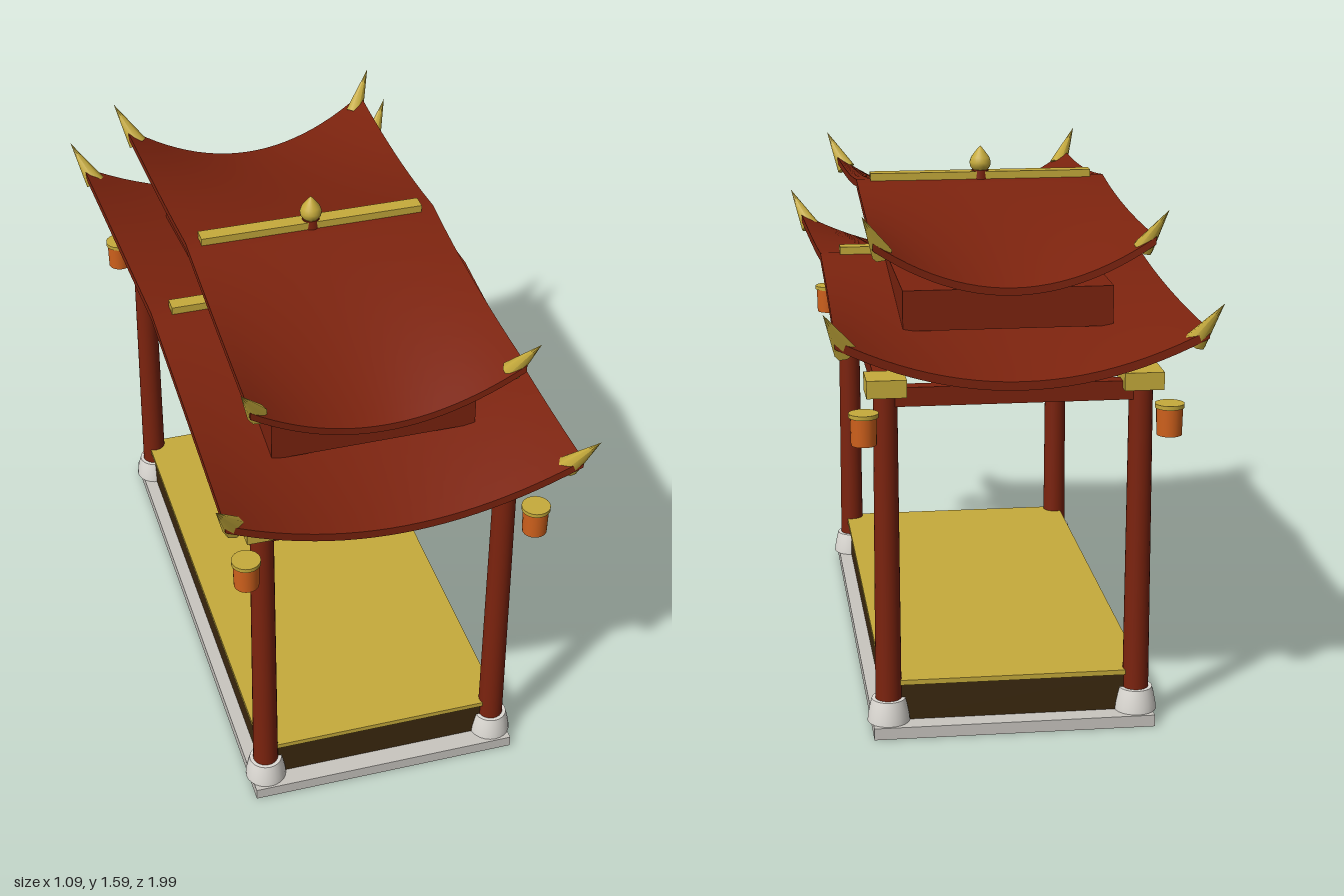
import * as THREE from 'three';

const mat = (name, color, extra = {}) => Object.assign(new THREE.MeshStandardMaterial({ color, ...extra }), { name });

// Saddle roof: flat ridge along x, falling to both eaves, corners lifted and flared
function roofGeometry({ halfX, halfZ, ridge, drop, lift, flareX, flareZ, thick }) {
  const geo = new THREE.BoxGeometry(2, 1, 2, 24, 1, 32);
  const p = geo.attributes.position;
  for (let i = 0; i < p.count; i++) {
    const u = p.getX(i), v = p.getZ(i), t = Math.abs(v), under = p.getY(i) < 0;
    const y = ridge - drop * Math.pow(t, 1.1) + lift * u * u * Math.pow(t, 1.5);
    p.setXYZ(i,
      u * (halfX + flareX * t * t),
      y - (under ? thick : 0),
      v * (halfZ + flareZ * u * u));
  }
  geo.computeVertexNormals();
  return geo;
}

export function createModel() {
  const model = new THREE.Group();
  model.name = 'pavilion';
  const red = mat('red lacquer', 0x7c230e);
  const gold = mat('gold', 0xc6ab3b);
  const dark = mat('dark wood', 0x3b280f);
  const slab = mat('grey stone', 0xc9c6c0);
  const stone = mat('pale stone', 0xdedbd5);
  const orange = mat('lantern orange', 0xd0611c);

  const add = (name, geo, material, x = 0, y = 0, z = 0) => {
    const mesh = new THREE.Mesh(geo, material);
    mesh.name = name;
    mesh.position.set(x, y, z);
    model.add(mesh);
    return mesh;
  };
  // Box given by its full width and depth and its bottom and top heights
  const box = (name, w, y0, y1, d, material, x = 0, z = 0) =>
    add(name, new THREE.BoxGeometry(w, y1 - y0, d), material, x, (y0 + y1) / 2, z);
  const lathe = (pts, n = 24) => new THREE.LatheGeometry(pts.map(([r, y]) => new THREE.Vector2(r, y)), n);

  // Horn: faceted spike from a base point to a tip
  const horn = (name, from, to, r) => {
    const a = new THREE.Vector3(...from), b = new THREE.Vector3(...to);
    const dir = b.clone().sub(a);
    const mesh = add(name, new THREE.ConeGeometry(r, dir.length(), 8), gold);
    mesh.position.copy(a).addScaledVector(dir, 0.5);
    mesh.quaternion.setFromUnitVectors(new THREE.Vector3(0, 1, 0), dir.normalize());
  };

  // Platform
  box('baseSlab', 0.82, 0, 0.035, 1.67, slab);
  box('plinth', 0.74, 0.035, 0.145, 1.55, dark);
  box('floor', 0.76, 0.145, 0.16, 1.57, gold);

  // Posts with stone feet, capitals and lanterns
  const px = 0.363, pz = 0.767;
  const foot = lathe([[0.062, 0.035], [0.06, 0.055], [0.054, 0.085], [0.049, 0.103], [0.049, 0.104], [0, 0.104]]);
  const post = new THREE.CylinderGeometry(0.034, 0.038, 0.93, 24);
  const lantern = new THREE.CylinderGeometry(0.038, 0.036, 0.08, 20);
  const lanternCap = new THREE.CylinderGeometry(0.042, 0.042, 0.012, 20);
  for (const sx of [-1, 1]) for (const sz of [-1, 1]) {
    const x = sx * px, z = sz * pz;
    add('postFoot', foot, stone, x, 0, z);
    add('post', post, red, x, 0.555, z);
    box('capital', 0.113, 1.013, 1.064, 0.113, gold, x, z);
    add('lantern', lantern, orange, sx * 0.43, 0.93, sz * 0.847);
    add('lanternCap', lanternCap, gold, sx * 0.43, 0.975, sz * 0.847);
    horn('lowerHorn', [sx * 0.482, 1.175, sz * 0.925], [sx * 0.545, 1.295, sz * 0.993], 0.032);
    horn('upperHorn', [sx * 0.365, 1.405, sz * 0.75], [sx * 0.425, 1.522, sz * 0.81], 0.03);
  }

  // Tie beams
  for (const s of [-1, 1]) {
    box('crossBeam', 2 * px, 0.979, 1.034, 0.045, red, 0, s * pz);
    box('sideBeam', 0.045, 0.979, 1.034, 2 * pz, red, s * px, 0);
  }

  // Two roof tiers with a box between them
  add('lowerRoof', roofGeometry({ halfX: 0.497, halfZ: 0.94, ridge: 1.264, drop: 0.184, lift: 0.136,
    flareX: 0.016, flareZ: 0.022, thick: 0.025 }), red);
  box('middleTier', 0.604, 1.163, 1.28, 1.314, red);
  add('upperRoof', roofGeometry({ halfX: 0.383, halfZ: 0.765, ridge: 1.492, drop: 0.188, lift: 0.14,
    flareX: 0.012, flareZ: 0.025, thick: 0.022 }), red);
  box('lowerRidge', 0.874, 1.262, 1.285, 0.046, gold);
  box('upperRidge', 0.68, 1.488, 1.511, 0.046, gold);

  // Finial
  add('finialBase', new THREE.CylinderGeometry(0.026, 0.028, 0.03, 20), red, 0, 1.5, 0);
  add('finial', lathe([[0, 1.512], [0.022, 1.513], [0.031, 1.525], [0.033, 1.538], [0.028, 1.553],
    [0.014, 1.572], [0.005, 1.583], [0, 1.588]]), gold);
  return model;
}
